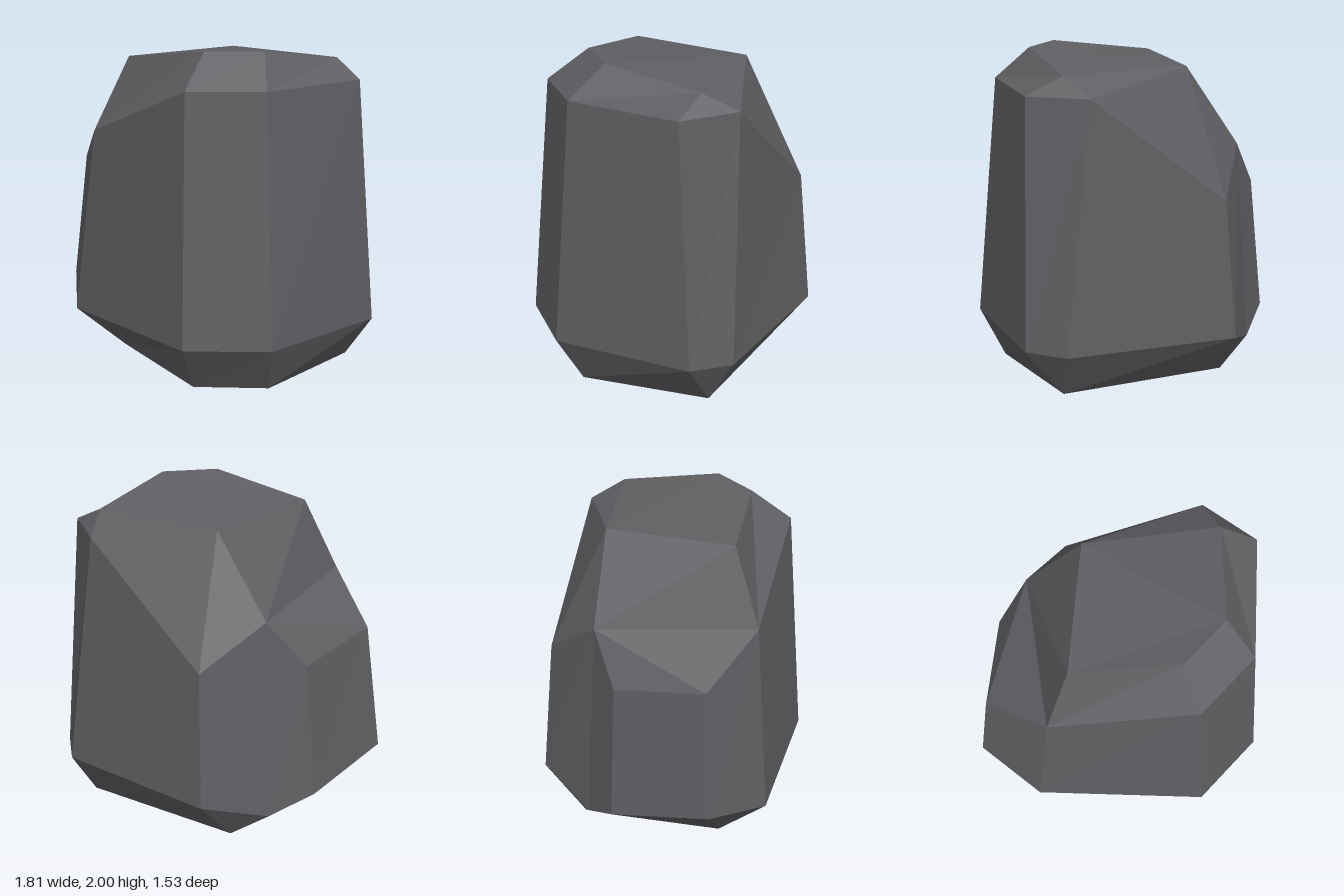
import * as THREE from 'three';

// Corner rings run counter-clockwise seen from above, starting at the left edge.
const foot = [[-0.43, 0, 0.38], [0.44, 0, 0.59], [0.77, 0, 0.28], [0.67, 0, -0.53], [-0.39, 0, -0.5]];
const lower = [
  [-0.91, 0.4, 0.4], [-0.54, 0.29, 0.69], [0.53, 0.29, 0.76], [0.9, 0.29, 0.39], [0.9, 0.29, -0.51],
  [0.71, 0.29, -0.71], [-0.36, 0.29, -0.77], [-0.62, 0.16, -0.42], [-0.82, 0.29, -0.22],
];
const upper = [
  [-0.82, 1.2, 0.36], [-0.44, 1.45, 0.6], [0.45, 1.8, 0.66], [0.78, 1.8, 0.33], [0.84, 1.8, -0.41],
  [0.53, 1.8, -0.65], [-0.31, 1.14, -0.71], [-0.55, 1.41, -0.37], [-0.74, 1.12, -0.21],
];
const crown = [[-0.3, 1.91, 0.43], [0.36, 2, 0.42], [0.61, 2, 0.17], [0.62, 1.91, -0.45], [-0.2, 1.91, -0.37]];

export function createModel() {
  const group = new THREE.Group();
  group.name = 'boulder';
  const stone = new THREE.MeshStandardMaterial({ color: 0x5f5e62 });
  stone.name = 'dark grey stone';

  // Makes one flat-faceted mesh from convex polygons, each split as a fan.
  const addFacets = (name, polygons) => {
    const points = [];
    for (const p of polygons) {
      for (let i = 1; i < p.length - 1; i++) points.push(...p[0], ...p[i], ...p[i + 1]);
    }
    const geometry = new THREE.BufferGeometry();
    geometry.setAttribute('position', new THREE.Float32BufferAttribute(points, 3));
    geometry.computeVertexNormals();
    const mesh = new THREE.Mesh(geometry, stone);
    mesh.name = name;
    group.add(mesh);
  };

  const [b, c, d, e, g] = foot;
  const L = lower, U = upper;
  const [t1, t2, t3, t4, t5] = crown;

  // Steep sides between the two large rings
  addFacets('sides', L.map((p, i) => {
    const j = (i + 1) % L.length;
    return [p, L[j], U[j], U[i]];
  }));

  // Undercut base tapering to the flat foot
  addFacets('base', [
    [b, L[1], L[0]], [b, c, L[2], L[1]], [c, d, L[3], L[2]], [d, e, L[4], L[3]],
    [e, L[5], L[4]], [e, g, L[6], L[5]], [g, L[7], L[6]], [b, L[8], L[7], g], [b, L[0], L[8]],
    [...foot].reverse(),
  ]);

  // Sloping shoulders, with the low ledge on one side
  addFacets('shoulders', [
    [U[7], U[0], U[1]], [U[7], U[8], U[0]], [U[7], U[1], t1, t5],
    [U[1], U[2], t2, t1], [U[2], U[3], t3, t2], [U[3], U[4], t4, t3], [U[4], U[5], t4],
    [U[5], t5, t4], [U[5], U[6], t5], [U[6], U[7], t5],
  ]);

  // Nearly level top
  addFacets('crown', [[t1, t2, t3, t5], [t3, t4, t5]]);

  return group;
}
